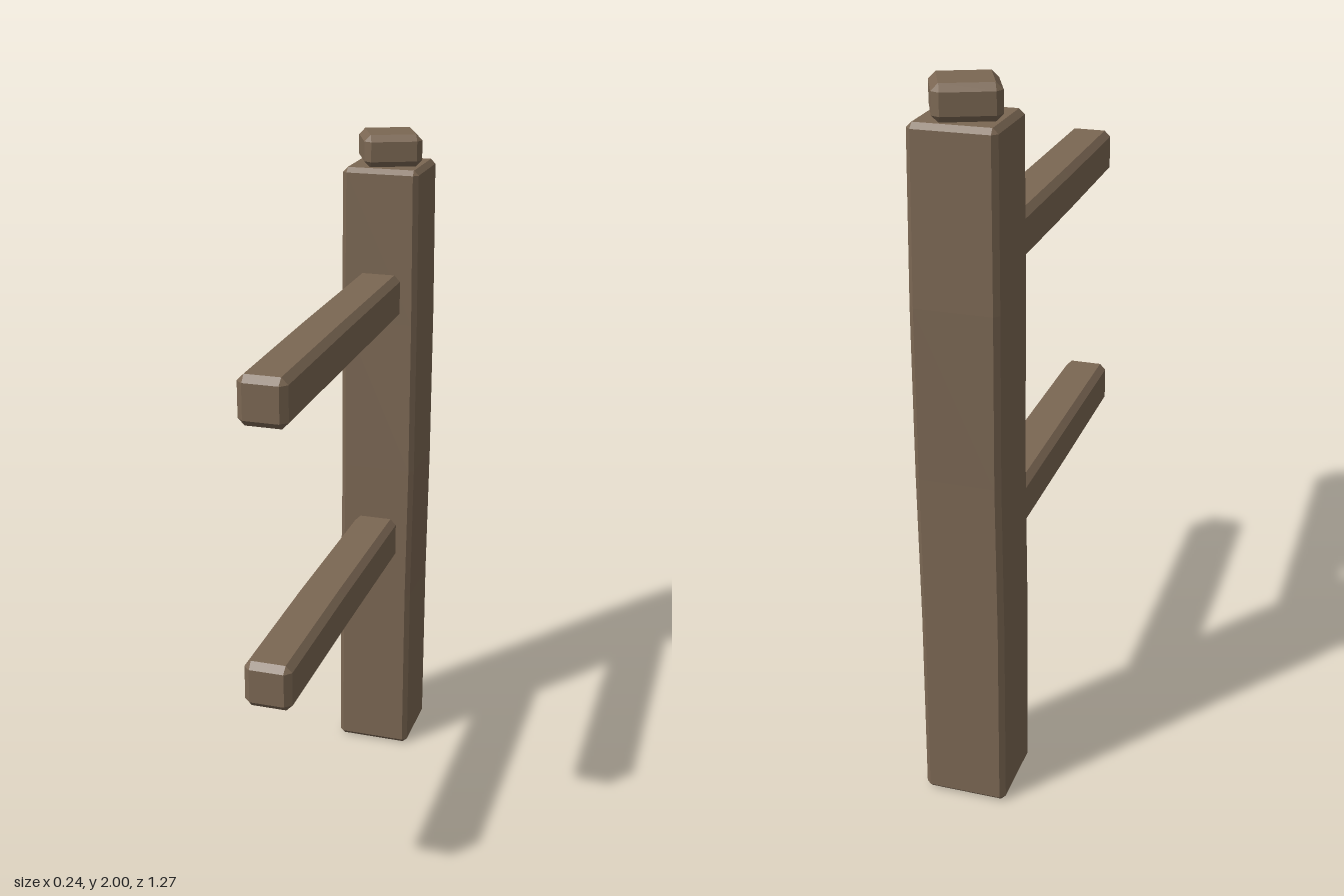
import * as THREE from 'three';

// Square with cut corners: half-width h, corner cut c, shifted by (ox, oz)
function section(y, h, c, ox = 0, oz = 0) {
  const k = h - c;
  return [[h, -k], [h, k], [k, h], [-k, h], [-h, k], [-h, -k], [-k, -h], [k, -h]]
    .map(([x, z]) => [x + ox, y, z + oz]);
}

// Faceted solid through a stack of sections, closed at both ends
function loft(rings) {
  const pos = [];
  const tri = (...corners) => corners.forEach((p) => pos.push(...p));
  const n = rings[0].length;
  for (let r = 0; r < rings.length - 1; r++) {
    const a = rings[r], b = rings[r + 1];
    for (let i = 0; i < n; i++) {
      const j = (i + 1) % n;
      tri(a[i], b[i], b[j]);
      tri(a[i], b[j], a[j]);
    }
  }
  const first = rings[0], last = rings[rings.length - 1];
  for (let i = 1; i < n - 1; i++) {
    tri(first[0], first[i], first[i + 1]);
    tri(last[0], last[i + 1], last[i]);
  }
  const geo = new THREE.BufferGeometry();
  geo.setAttribute('position', new THREE.Float32BufferAttribute(pos, 3));
  geo.computeVertexNormals();
  return geo;
}

// Chamfered beam along y; each station is [y, half-width, offset x, offset z]
function beam(stations, chamfer) {
  const rings = stations.map(([y, h, ox, oz]) => section(y, h, chamfer, ox, oz));
  const end = ([y, h, ox, oz], dir) => section(y + dir * chamfer, h - chamfer, 0.001, ox, oz);
  return loft([end(stations[0], -1), ...rings, end(stations[stations.length - 1], 1)]);
}

export function createModel() {
  const model = new THREE.Group();
  model.name = 'woodenPost';
  const wood = new THREE.MeshStandardMaterial({ color: 0x7b6753 });
  wood.name = 'brown wood';

  const add = (name, geometry) => {
    const mesh = new THREE.Mesh(geometry, wood);
    mesh.name = name;
    model.add(mesh);
    return mesh;
  };

  // Slightly uneven upright
  add('post', beam([
    [0.016, 0.116, -0.004, -0.507],
    [0.55, 0.116, -0.004, -0.508],
    [0.98, 0.116, 0, -0.511],
    [1.45, 0.117, -0.002, -0.515],
    [1.894, 0.114, -0.002, -0.511],
  ], 0.014));

  // Twisted block on top of the post
  const cap = add('cap', beam([[1.925, 0.085, 0, 0], [1.982, 0.085, 0, 0]], 0.018));
  cap.position.set(-0.002, 0, -0.513);
  cap.rotation.y = THREE.MathUtils.degToRad(23);

  // Two rails reaching forward from the post
  const rails = [['upperRail', 1.532, 0.0], ['lowerRail', 0.751, 0.005]];
  for (const [name, y, rise] of rails) {
    const rail = add(name, beam([
      [-0.5, 0.067, -0.002, rise],
      [0.15, 0.067, -0.004, 0],
      [0.615, 0.066, -0.003, 0],
    ], 0.018));
    rail.rotation.x = Math.PI / 2;
    rail.position.y = y;
  }

  return model;
}
